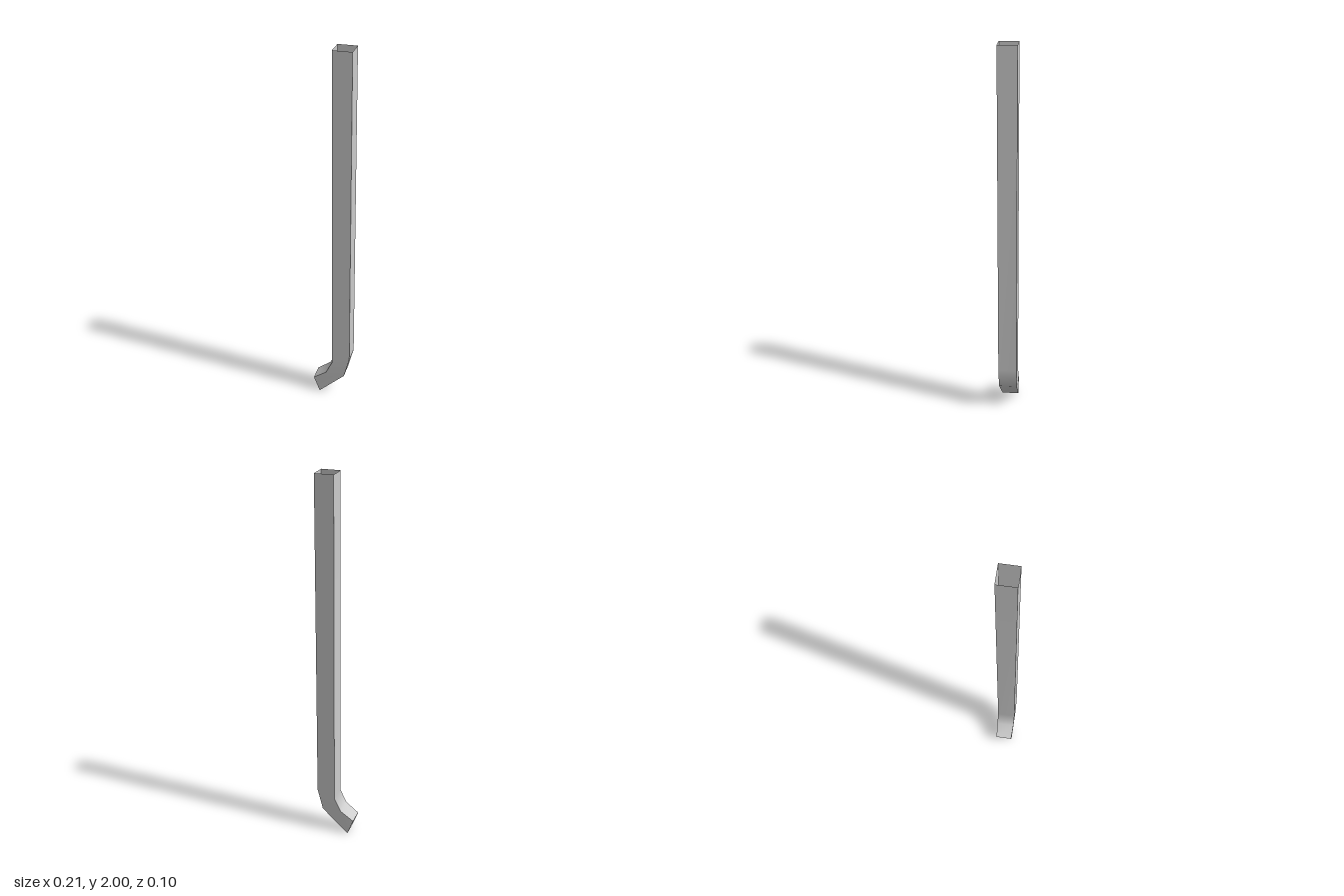
import * as THREE from 'three';

// Cross-sections from top to spout: inner x, y, outer x, y, half depth
const SECTIONS = [
  [0.005, 2, 0.103, 2, 0.049],
  [0.005, 0.217, 0.103, 0.255, 0.049],
  [-0.032, 0.14, 0.073, 0.137, 0.049],
  [-0.103, 0.088, -0.07, 0, 0.045],
];

// Four corners of a section, in order around the pipe
function corners([ix, iy, ox, oy, d]) {
  return [[ix, iy, d], [ox, oy, d], [ox, oy, -d], [ix, iy, -d]];
}

// One wall: a strip with smooth normals along the bend and sharp long edges
function wallGeometry(side) {
  const positions = [];
  const index = [];
  SECTIONS.forEach((section, i) => {
    const ring = corners(section);
    positions.push(...ring[side], ...ring[(side + 1) % 4]);
    if (i > 0) {
      const a = (i - 1) * 2;
      index.push(a, a + 2, a + 1, a + 1, a + 2, a + 3);
    }
  });
  const geometry = new THREE.BufferGeometry();
  geometry.setAttribute('position', new THREE.Float32BufferAttribute(positions, 3));
  geometry.setIndex(index);
  geometry.computeVertexNormals();
  return geometry;
}

export function createModel() {
  const model = new THREE.Group();
  model.name = 'downpipe';
  const material = new THREE.MeshStandardMaterial({ color: 0xcccccc, side: THREE.DoubleSide });

  // Thin open square pipe, with no caps at either end
  ['frontWall', 'outerWall', 'backWall', 'innerWall'].forEach((name, side) => {
    const wall = new THREE.Mesh(wallGeometry(side), material);
    wall.name = name;
    model.add(wall);
  });
  return model;
}
